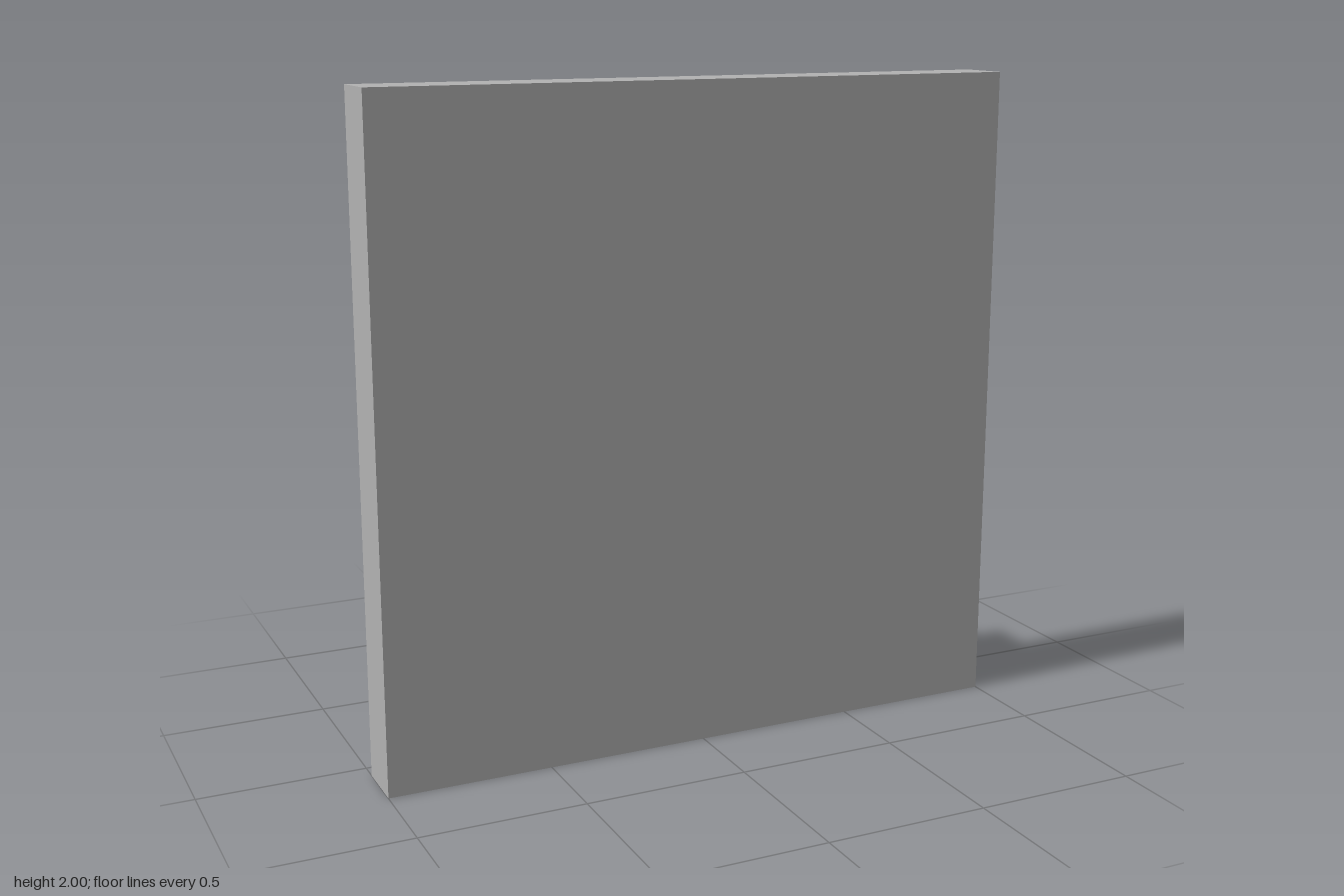
import * as THREE from 'three';

export function createModel() {
  const group = new THREE.Group();
  const gray = new THREE.MeshStandardMaterial({ color: 0xb2b2b2 });
  gray.name = 'gray';

  // Box centred on x, given by its width, y range and z range
  const slab = (name, width, y0, y1, z0, z1) => {
    const mesh = new THREE.Mesh(new THREE.BoxGeometry(width, y1 - y0, z1 - z0), gray);
    mesh.name = name;
    mesh.position.set(0, (y0 + y1) / 2, (z0 + z1) / 2);
    group.add(mesh);
  };

  // Square front panel and the thinner plate on its back
  slab('frontPanel', 2, 0, 2, 0.057, 0.228);
  slab('backPlate', 1.826, 0.087, 1.913, 0.022, 0.057);

  // Narrow ledge along the bottom of the back plate
  slab('bottomLedge', 1.826, 0.087, 0.13, 0.012, 0.022);

  // Stepped mount in the middle of the back
  slab('mountBase', 0.596, 0.702, 1.298, -0.138, 0.022);
  slab('mountStep', 0.5, 0.752, 1.248, -0.185, -0.138);
  slab('mountCap', 0.456, 0.772, 1.228, -0.228, -0.185);

  return group;
}
